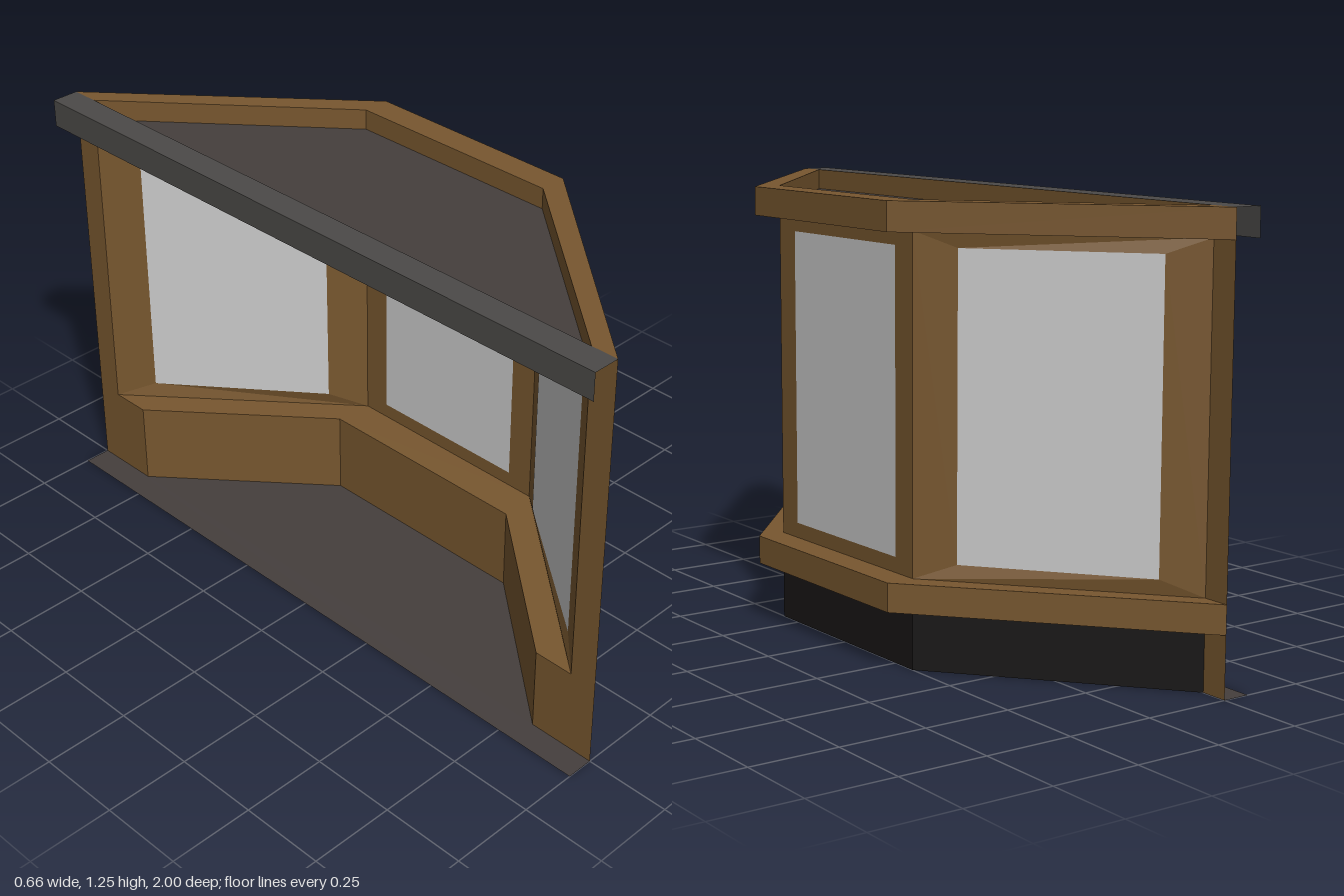
import * as THREE from 'three';

// Plan outlines as [x, z], running from the +z end round to the -z end
const mirrored = (a, b) => [a, b, [b[0], -b[1]], [a[0], -a[1]]];
const OUTER = mirrored([-0.25, 1], [0.33, 0.33]);      // sill and cornice edge
const WALL = mirrored([-0.25, 0.92], [0.25, 0.33]);    // window wall
const ROOM = mirrored([-0.25, 0.8], [0.14, 0.34]);     // inner face of the base

const BACK = -0.25, LIP = -0.33;
const Y = { sillLow: 0.17, sillTop: 0.25, head: 1.17, top: 1.25, roof: 1.19 };

const paint = (color) => new THREE.MeshStandardMaterial({
  color, flatShading: true, side: THREE.DoubleSide,
});

// Four corners, counter-clockwise from the front
const quad = (a, b, c, d) => [a, b, c, a, c, d];
const at = ([x, z], y) => [x, y, z];

// Strip of quads from a lower outline to an upper one
function band(low, yLow, high, yHigh) {
  const out = [];
  for (let i = 0; i < low.length - 1; i++) {
    out.push(...quad(at(low[i], yLow), at(low[i + 1], yLow),
      at(high[i + 1], yHigh), at(high[i], yHigh)));
  }
  return out;
}

// Upright rectangle in a plane of constant x, facing +x
const upright = (x, z0, z1, y0, y1) =>
  quad([x, y0, z0], [x, y0, z1], [x, y1, z1], [x, y1, z0]);

// Level rectangle facing up
const level = (y, x0, x1, z) => quad([x0, y, z], [x1, y, z], [x1, y, -z], [x0, y, -z]);

// Level panel filling an outline
const fill = (path, y) => quad(...path.map((p) => at(p, y)));

export function createModel() {
  const model = new THREE.Group();
  model.name = 'bayWindow';

  const wood = paint(0x78572f);
  const glass = paint(0xcccccc);
  const plinth = paint(0x191717);
  const lining = paint(0x453f3d);
  const flashing = paint(0x4c4a48);

  const add = (name, material, ...parts) => {
    const geometry = new THREE.BufferGeometry();
    geometry.setAttribute('position', new THREE.Float32BufferAttribute(parts.flat(2), 3));
    geometry.computeVertexNormals();
    const mesh = new THREE.Mesh(geometry, material);
    mesh.name = name;
    model.add(mesh);
  };

  // Base: dark outer face, wooden inner face, underside and ends
  add('plinth', plinth, band(WALL, 0, WALL, Y.sillLow));
  add('baseLining', wood,
    band(ROOM, Y.sillTop, ROOM, 0),
    band(ROOM, 0, WALL, 0),
    upright(BACK, -0.92, -0.8, 0, Y.sillTop),
    upright(BACK, 0.8, 0.92, 0, Y.sillTop));

  // Sill projecting outside and running in as a ledge
  add('sill', wood,
    band(OUTER, Y.sillLow, OUTER, Y.sillTop),
    band(OUTER, Y.sillTop, WALL, Y.sillTop),
    band(WALL, Y.sillTop, ROOM, Y.sillTop),
    band(WALL, Y.sillLow, OUTER, Y.sillLow));

  // Cornice round the sunken roof
  add('cornice', wood,
    band(OUTER, Y.head, OUTER, Y.top),
    band(OUTER, Y.top, WALL, Y.top),
    band(WALL, Y.top, WALL, Y.head),
    band(WALL, Y.head, OUTER, Y.head),
    upright(BACK, 0.92, -0.92, Y.head, Y.top));

  // Flat posts against the house wall
  for (const s of [1, -1]) {
    add(s > 0 ? 'frontWallPost' : 'backWallPost', wood,
      upright(BACK, s > 0 ? 1 : -0.92, s > 0 ? 0.92 : -1, 0, Y.top));
  }

  // Three windows: border between the wall corners and the pane
  const panes = [
    [[-0.167, 0.835], [0.167, 0.415]],
    [[0.25, 0.25], [0.25, -0.25]],
    [[0.167, -0.415], [-0.167, -0.835]],
  ];
  panes.forEach(([p, q], i) => {
    const corners = (a, b, y0, y1) => [at(a, y0), at(b, y0), at(b, y1), at(a, y1)];
    const rim = corners(WALL[i], WALL[i + 1], Y.sillTop, Y.head);
    const pane = corners(p, q, 0.293, 1.127);
    const sides = rim.map((c, k) => quad(c, rim[(k + 1) % 4], pane[(k + 1) % 4], pane[k]));
    const side = ['front', 'middle', 'back'][i];
    add(side + 'WindowFrame', wood, ...sides);
    add(side + 'WindowPane', glass, quad(...pane));
  });

  // Floor, with a strip reaching into the house wall
  add('floor', lining, fill(ROOM, 0), level(0, LIP, BACK, 1));

  // Roof panel and the folded strip along the house wall
  add('roofPanel', lining, fill(WALL, Y.roof));
  add('wallFlashing', flashing,
    level(Y.top, LIP, BACK, 1),
    upright(LIP, -1, 1, Y.head, Y.top));

  return model;
}
